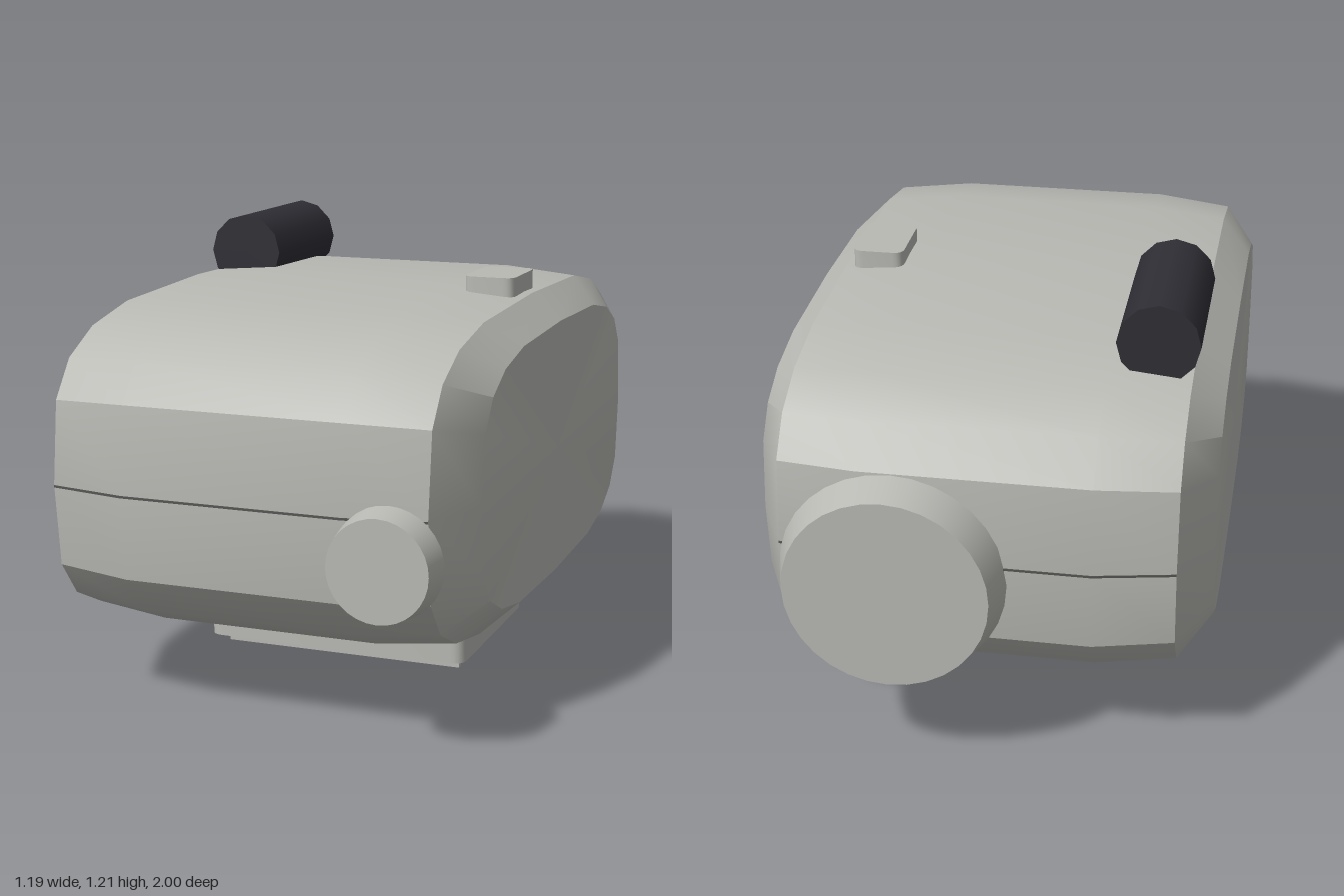
import * as THREE from 'three';
import { toCreasedNormals } from 'three/addons/utils/BufferGeometryUtils.js';

const MID_Y = 0.6125, MID_Z = 0.0125;
// Body stations: x, half depth (z), half height (y)
const STATIONS = [
  [-0.593, 0.715, 0.357], [-0.51, 0.883, 0.43], [-0.3, 0.923, 0.4475],
  [0.3, 0.923, 0.4475], [0.51, 0.883, 0.43], [0.593, 0.715, 0.357],
];

// Lofted superellipse hull with flat end caps
function hullGeometry() {
  const N = 20, P = 0.571, pos = [], idx = [];
  const pow = v => Math.sign(v) * Math.pow(Math.abs(v) < 1e-9 ? 0 : Math.abs(v), P);
  for (const [x, hz, hy] of STATIONS) {
    for (let i = 0; i < N; i++) {
      const t = i / N * Math.PI * 2;
      pos.push(x, MID_Y + hy * pow(Math.sin(t)), MID_Z + hz * pow(Math.cos(t)));
    }
  }
  const last = STATIONS.length - 1, capA = STATIONS.length * N, capB = capA + 1;
  pos.push(STATIONS[0][0], MID_Y, MID_Z, STATIONS[last][0], MID_Y, MID_Z);
  for (let i = 0; i < N; i++) {
    const j = (i + 1) % N;
    for (let r = 0; r < last; r++) {
      const a = r * N + i, b = a + N, c = r * N + j, d = c + N;
      idx.push(a, b, c, b, d, c);
    }
    idx.push(capA, i, j, capB, last * N + j, last * N + i);
  }
  const g = new THREE.BufferGeometry();
  g.setAttribute('position', new THREE.Float32BufferAttribute(pos, 3));
  g.setIndex(idx);
  return toCreasedNormals(g.toNonIndexed(), 0.52);
}

// Upright slab with rounded vertical corners, standing on y = 0
function slabGeometry(w, d, h, r) {
  const s = new THREE.Shape(), x = w / 2, y = d / 2;
  s.moveTo(-x + r, -y);
  s.lineTo(x - r, -y).quadraticCurveTo(x, -y, x, -y + r);
  s.lineTo(x, y - r).quadraticCurveTo(x, y, x - r, y);
  s.lineTo(-x + r, y).quadraticCurveTo(-x, y, -x, y - r);
  s.lineTo(-x, -y + r).quadraticCurveTo(-x, -y, -x + r, -y);
  const g = new THREE.ExtrudeGeometry(s, { depth: h, bevelEnabled: false, curveSegments: 5 });
  return toCreasedNormals(g.rotateX(-Math.PI / 2), 0.6);
}

// Thin plate that peeks out along the front and back of the hull
function seamGeometry() {
  const e = 0.002, side = STATIONS.slice(1, -1);
  const pts = side.map(([x, hz]) => new THREE.Vector2(x, MID_Z - hz - e));
  for (const [x, hz] of [...side].reverse()) pts.push(new THREE.Vector2(x, MID_Z + hz + e));
  return new THREE.ExtrudeGeometry(new THREE.Shape(pts), { depth: 0.006, bevelEnabled: false })
    .rotateX(Math.PI / 2);
}

export function createModel() {
  const model = new THREE.Group();
  const make = (name, color) => {
    const m = new THREE.MeshStandardMaterial({ color });
    m.name = name;
    return m;
  };
  const grey = make('warm grey', 0xb9b9b4);
  const black = make('soft black', 0x2f2e35);
  const dark = make('seam grey', 0x555553);

  const add = (name, geometry, material, x = 0, y = 0, z = 0) => {
    const mesh = new THREE.Mesh(geometry, material);
    mesh.name = name;
    mesh.position.set(x, y, z);
    model.add(mesh);
    return mesh;
  };

  add('body', hullGeometry(), grey);
  add('seam', seamGeometry(), dark, 0, MID_Y, 0);

  // Round windows: front narrows towards +z, rear narrows towards -z
  add('frontWindow', new THREE.CylinderGeometry(0.132, 0.145, 0.08, 32).rotateX(Math.PI / 2),
    grey, 0.416, 0.505, 0.96);
  add('rearWindow', new THREE.CylinderGeometry(0.294, 0.265, 0.095, 32).rotateX(Math.PI / 2),
    grey, 0.207, 0.556, -0.9525);

  // Top fittings
  add('topRoller', new THREE.CylinderGeometry(0.108, 0.108, 0.44, 12).rotateX(Math.PI / 2),
    black, -0.42, 1.097, -0.355);
  add('topButton', slabGeometry(0.142, 0.216, 0.058, 0.03), grey, 0.415, 1.037, 0.0125);

  // Mounting base with two rails and a hexagonal stud
  add('base', slabGeometry(0.765, 0.585, 0.16, 0.04), grey, 0.0325, 0.045, 0.0175);
  for (const z of [0.235, -0.208]) {
    add('baseRail', new THREE.BoxGeometry(0.7, 0.04, 0.018), grey, 0.034, 0.031, z);
  }
  add('baseStud', new THREE.CylinderGeometry(0.037, 0.037, 0.05, 6).toNonIndexed(),
    grey, -0.21, 0.025, 0.015).geometry.computeVertexNormals();

  return model;
}
